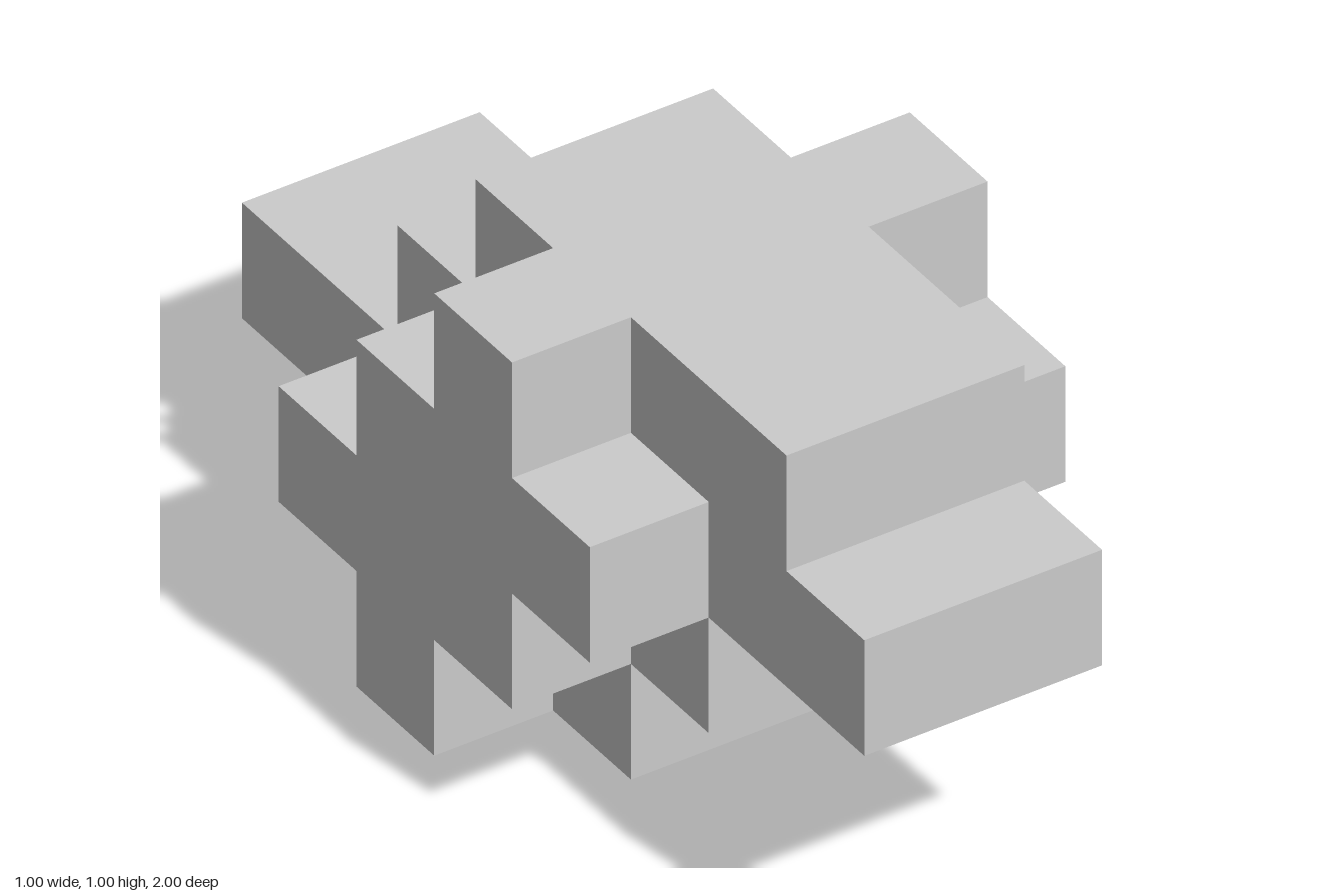
import * as THREE from 'three';

const STEP = 0.25;

// Back and front z limits of each layer, from the bottom up
const CORE_LAYERS = [[-0.75, 0.25], [-1, 0.5], [-0.5, 1], [-0.25, 0.75]];
const SIDE_LAYERS = [[-0.25, 0], [-0.5, 0.25], [-0.25, 0.5], [0, 0.25]];

// Stepped outline in the z-y plane, up the front and down the back
function steppedShape(layers) {
  const front = [], back = [];
  layers.forEach(([z0, z1], i) => {
    for (const y of [i * STEP, (i + 1) * STEP]) {
      front.push(new THREE.Vector2(z1, y));
      back.unshift(new THREE.Vector2(z0, y));
    }
  });
  return new THREE.Shape([...front, ...back]);
}

// Slab of a given width, extruded along x and centred on the given x
function slab(name, layers, width, x, material) {
  const geometry = new THREE.ExtrudeGeometry(steppedShape(layers), { depth: width, bevelEnabled: false });
  geometry.translate(0, 0, -width / 2);
  geometry.rotateY(-Math.PI / 2);
  const mesh = new THREE.Mesh(geometry, material);
  mesh.name = name;
  mesh.position.x = x;
  return mesh;
}

export function createModel() {
  const group = new THREE.Group();
  group.name = 'steppedBlock';
  const material = new THREE.MeshStandardMaterial({ color: 0xcccccc, flatShading: true });

  // Wide central slab
  group.add(slab('core', CORE_LAYERS, 2 * STEP, 0, material));

  // Matching narrower slabs on both sides
  for (const side of [-1, 1]) {
    group.add(slab(side > 0 ? 'leftSide' : 'rightSide', SIDE_LAYERS, STEP, side * 1.5 * STEP, material));
  }
  return group;
}
